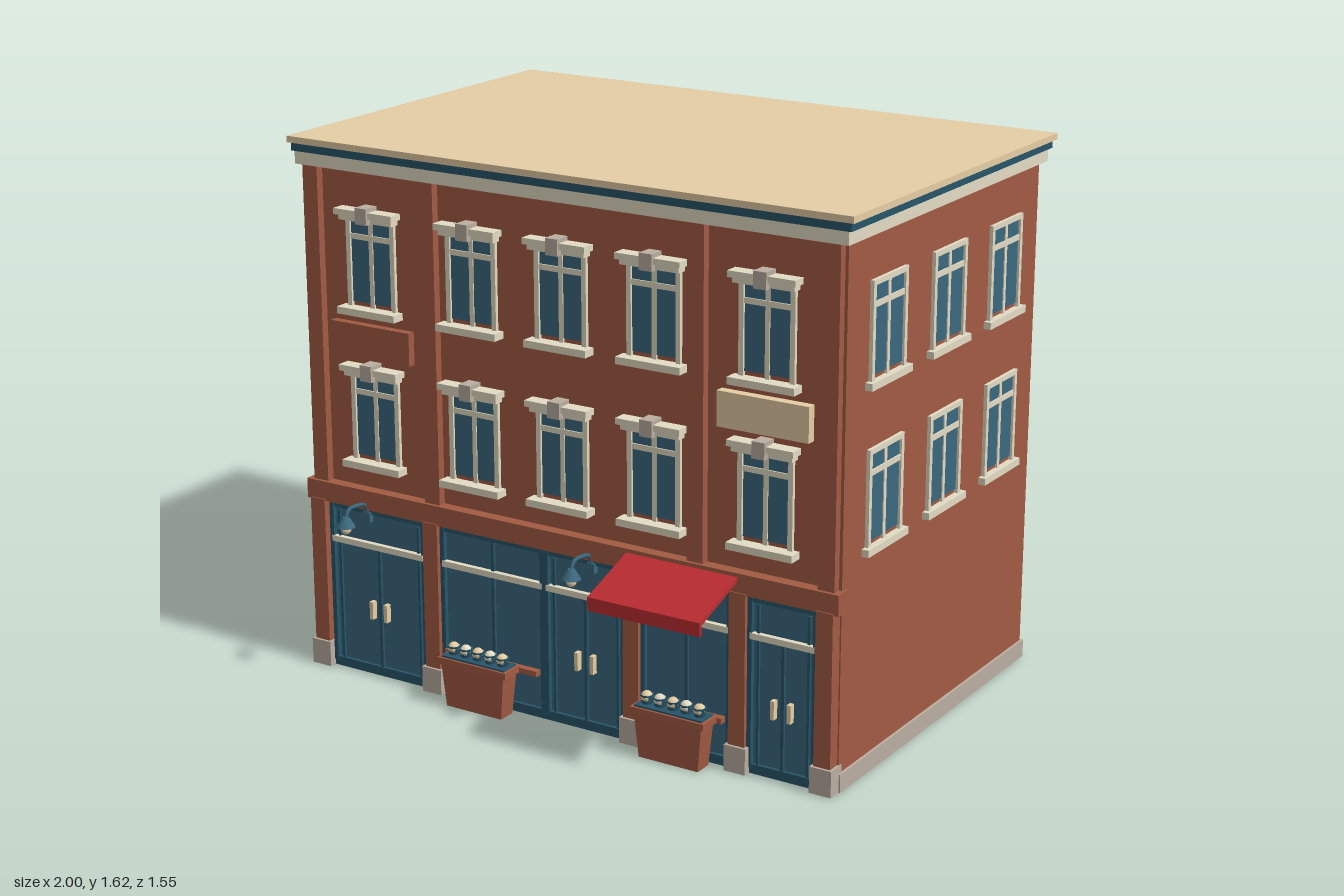
import * as THREE from 'three';

const mat = (name, color) => {
  const m = new THREE.MeshStandardMaterial({ color });
  m.name = name;
  return m;
};

export function createModel() {
  const brick = mat('brick', 0xa35b43);
  const tan = mat('tan', 0xe6cea4);
  const cream = mat('cream', 0xe3dbc4);
  const stone = mat('stone', 0xbbafa1);
  const glass = mat('glass blue', 0x3b697e);
  const navy = mat('dark blue', 0x28566a);
  const earth = mat('underside brown', 0x956c5a);
  const red = mat('awning red', 0xbb2d31);
  red.side = THREE.DoubleSide;

  const root = new THREE.Group();
  root.name = 'cornerShopBuilding';
  // the building stands turned a little about the vertical
  const house = new THREE.Group();
  house.name = 'house';
  house.rotation.y = 0.141;
  house.position.z = -0.0425;
  root.add(house);

  const add = (parent, name, geo, material) => {
    const m = new THREE.Mesh(geo, material);
    m.name = name;
    parent.add(m);
    return m;
  };
  // box given by its two extents on each axis
  const box = (parent, name, material, x0, x1, y0, y1, z0, z1) => {
    const m = add(parent, name, new THREE.BoxGeometry(x1 - x0, y1 - y0, z1 - z0), material);
    m.position.set((x0 + x1) / 2, (y0 + y1) / 2, (z0 + z1) / 2);
    return m;
  };
  const sub = (parent, name, x, y, z, ry = 0) => {
    const g = new THREE.Group();
    g.name = name;
    g.position.set(x, y, z);
    g.rotation.y = ry;
    parent.add(g);
    return g;
  };

  // walls, plinth, cornice and roof
  const W = 0.89, F = 0.57, B = -0.565;
  box(house, 'walls', brick, -W, W, 0.004, 1.55, B, F);
  box(house, 'underside', earth, -W, W, 0, 0.004, B, F);
  box(house, 'plinth', stone, -W - 0.008, W + 0.008, 0.001, 0.055, B - 0.008, F + 0.004);
  box(house, 'corniceBase', cream, -0.905, 0.905, 1.535, 1.573, -0.59, 0.598);
  box(house, 'corniceBand', navy, -0.914, 0.914, 1.573, 1.597, -0.599, 0.602);
  box(house, 'roof', tan, -0.924, 0.924, 1.597, 1.616, -0.6085, 0.6085);

  // sash window facing +z, its sill at the local origin
  const sashWindow = (parent, x, y, z, ry, w, h, ornate) => {
    const g = sub(parent, 'window', x, y, z, ry);
    const a = w / 2, t = 0.015, d = 0.011;
    box(g, 'pane', glass, -a + t, a - t, t, h - t, -0.005, 0.004);
    for (const s of [-1, 1]) {
      const e = s * (a - t / 2);
      box(g, 'frameSide', cream, e - t / 2, e + t / 2, 0, h, -0.005, d);
    }
    box(g, 'frameTop', cream, -a, a, h - t, h, -0.005, d);
    box(g, 'mullion', cream, -0.007, 0.007, 0, h, -0.005, 0.007);
    box(g, 'transom', cream, -a, a, h * 0.725, h * 0.725 + 0.016, -0.005, 0.0085);
    const s = a + 0.017;
    box(g, 'sill', cream, -s, s, -0.018, 0.003, -0.005, ornate ? 0.042 : 0.022);
    if (ornate) {
      box(g, 'lintelLower', cream, -a - 0.008, a + 0.008, h - 0.018, h - 0.002, -0.005, 0.032);
      box(g, 'lintel', cream, -s, s, h - 0.002, h + 0.016, -0.005, 0.043);
      box(g, 'keystone', stone, -0.02, 0.02, h - 0.02, h + 0.028, -0.005, 0.05);
    }
  };
  for (const y of [0.667, 1.132]) {
    for (const x of [-0.656, -0.303, 0, 0.303, 0.656]) sashWindow(house, x, y, F, 0, 0.172, 0.278, true);
    for (const z of [-0.351, 0, 0.351]) sashWindow(house, W, y, z, Math.PI / 2, 0.195, 0.278, false);
    for (const x of [-0.55, 0, 0.55]) sashWindow(house, x, y, B, Math.PI, 0.195, 0.278, false);
  }

  // upper pilasters, fascia above the shops, and sign boards
  for (const x of [-0.855, -0.445, 0.445, 0.855])
    box(house, 'pilaster', brick, x - 0.026, x + 0.026, 0.58, 1.54, F - 0.01, 0.595);
  box(house, 'fascia', brick, -0.9, 0.9, 0.525, 0.585, F - 0.02, 0.606);
  box(house, 'brickSign', brick, -0.797, -0.515, 0.987, 1.085, F, 0.595);
  box(house, 'paleSign', tan, 0.514, 0.797, 0.987, 1.088, F, 0.598);

  // ground floor pilasters on stone feet
  for (const x of [-0.86, -0.447, 0.245, 0.59, 0.86]) {
    box(house, 'shopPilaster', brick, x - 0.026, x + 0.026, 0.07, 0.53, F - 0.01, 0.61);
    box(house, 'pilasterFoot', stone, x - 0.034, x + 0.034, 0.002, 0.08, F - 0.01, 0.618);
  }

  // shopfront bays, each with a frame, a centre post and a cream bar
  const bay = (x0, x1, door) => {
    const g = sub(house, door ? 'doubleDoor' : 'shopWindow', 0, 0, 0);
    const mid = (x0 + x1) / 2;
    box(g, 'pane', glass, x0, x1, 0.02, 0.522, F - 0.01, 0.584);
    box(g, 'threshold', navy, x0, x1, 0.002, 0.03, F - 0.01, 0.594);
    box(g, 'header', navy, x0, x1, 0.508, 0.526, F - 0.01, 0.594);
    for (const x of [x0 + 0.007, x1 - 0.007]) box(g, 'jamb', navy, x - 0.007, x + 0.007, 0.02, 0.522, F, 0.598);
    box(g, 'post', navy, mid - 0.005, mid + 0.005, 0.02, door ? 0.4 : 0.51, F, 0.592);
    box(g, 'bar', cream, x0 + 0.008, x1 - 0.008, 0.401, 0.419, F, 0.6);
    if (door) {
      for (const s of [-1, 1]) {
        const h = mid + s * 0.026, e = mid + s * ((x1 - x0) / 2 - 0.03);
        box(g, 'leafEdge', navy, e - 0.004, e + 0.004, 0.03, 0.5, F, 0.591);
        box(g, 'handle', tan, h - 0.006, h + 0.006, 0.18, 0.235, F, 0.603);
      }
    } else {
      box(g, 'ledge', brick, x0 + 0.015, x1 - 0.025, 0.13, 0.147, F, 0.606);
    }
  };
  bay(-0.826, -0.475, true);
  bay(-0.42, -0.055, false);
  bay(-0.055, 0.22, true);
  bay(0.27, 0.564, false);
  bay(0.616, 0.834, true);

  // sloping awning with a front valance
  const slope = new THREE.Shape([[0.6, 0.576], [0.8, 0.506], [0.8, 0.466], [0.79, 0.466], [0.79, 0.495], [0.6, 0.562]]
    .map(([z, y]) => new THREE.Vector2(-z, y)));
  const awning = add(house, 'awning', new THREE.ExtrudeGeometry(slope, { depth: 0.358, bevelEnabled: false }), red);
  awning.rotation.y = Math.PI / 2;
  awning.position.x = 0.23;

  // wall lamps on curved arms
  for (const x of [-0.684, 0.108]) {
    const g = sub(house, 'wallLamp', x, 0, 0);
    const arm = new THREE.CatmullRomCurve3([[0.595, 0.505], [0.608, 0.54], [0.65, 0.55], [0.685, 0.547], [0.697, 0.525]]
      .map(([z, y]) => new THREE.Vector3(0, y, z)));
    add(g, 'arm', new THREE.TubeGeometry(arm, 16, 0.006, 6), glass);
    box(g, 'wallPlate', glass, -0.012, 0.012, 0.485, 0.515, 0.58, 0.602);
    add(g, 'shade', new THREE.CylinderGeometry(0.01, 0.028, 0.03, 12), glass).position.set(0, 0.515, 0.697);
    add(g, 'bulb', new THREE.SphereGeometry(0.015, 10, 8), tan).position.set(0, 0.492, 0.697);
  }

  // tapered planters with a row of flowers
  for (const x of [-0.26, 0.405]) {
    const g = sub(house, 'planter', x, 0, 0.638);
    const geo = new THREE.BoxGeometry(0.22, 0.135, 0.066);
    const p = geo.attributes.position;
    for (let i = 0; i < p.count; i++) if (p.getY(i) < 0) p.setXYZ(i, p.getX(i) * 0.88, p.getY(i), p.getZ(i) * 0.85);
    geo.computeVertexNormals();
    add(g, 'tub', geo, brick).position.y = 0.0685;
    box(g, 'rim', brick, -0.12, 0.12, 0.132, 0.152, -0.038, 0.038);
    box(g, 'soil', navy, -0.11, 0.11, 0.148, 0.157, -0.031, 0.031);
    for (let i = 0; i < 5; i++) {
      const fx = (i - 2) * 0.043;
      add(g, 'leaves', new THREE.CylinderGeometry(0.021, 0.015, 0.03, 7), navy).position.set(fx, 0.168, 0);
      add(g, 'flower', new THREE.SphereGeometry(0.018, 8, 6), i % 2 ? cream : tan).position.set(fx, 0.176, 0.002);
    }
  }

  return root;
}
